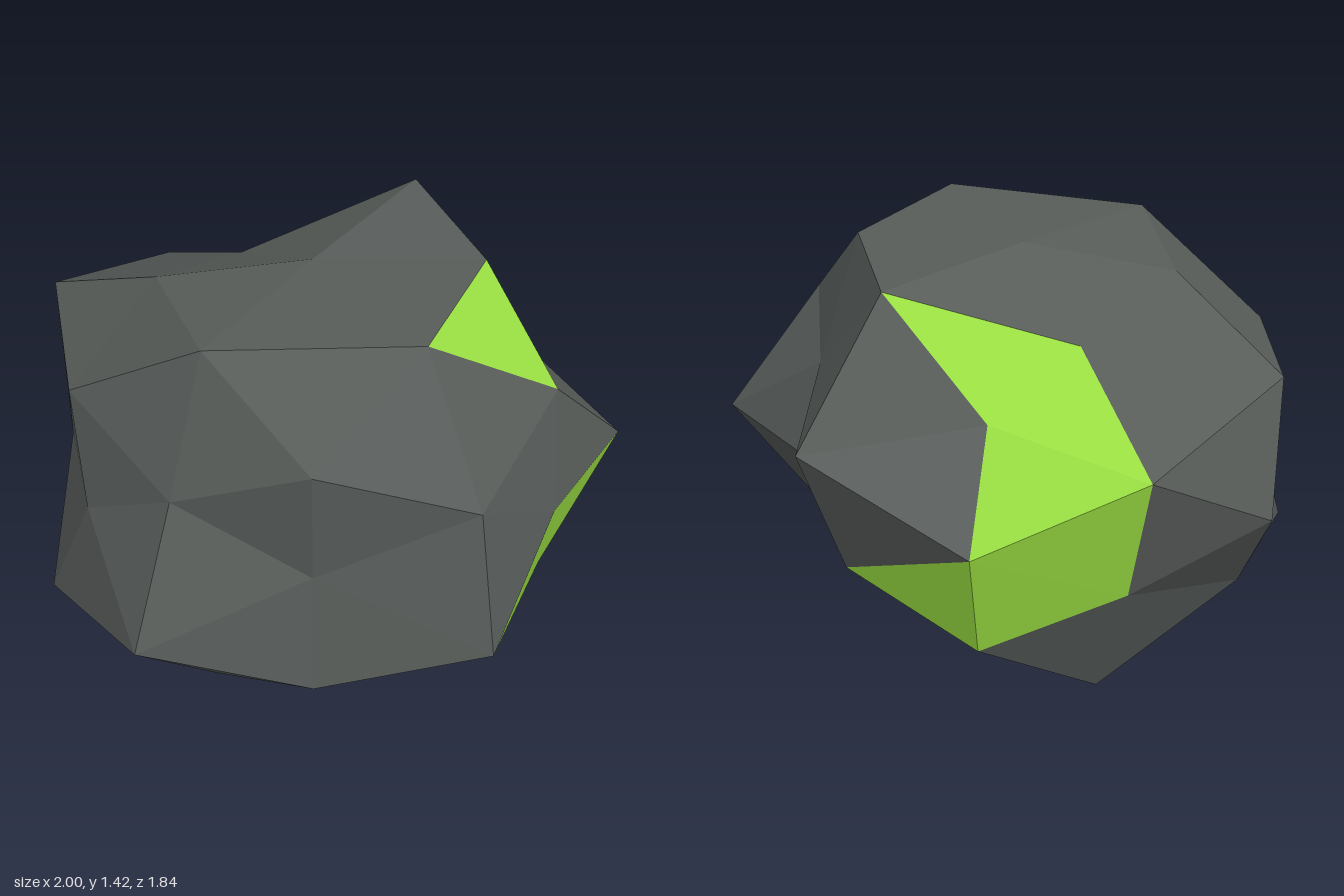
import * as THREE from 'three';

// Radius of every corner of a subdivided icosahedron, grouped by direction family.
// Key: absolute direction x 10. Entries run through the signs of the non-zero axes, plus before minus.
const FAMILIES = {
  '10,0,0': ['X', [1.08, 0.855]],
  '0,10,0': ['Y', [0.945, 0.933]],
  '0,0,10': ['Z', [0.875, 1.043]],
  '5,9,0': ['A', [1.105, 0.9, 1.005, 1.17]],
  '0,5,9': ['F', [1.07, 0.832, 1.095, 1.058]],
  '9,0,5': ['B', [0.95, 0.79, 0.893, 1.081]],
  '3,8,5': ['T', [1.172, 1.182, 0.9, 0.83, 1.125, 0.84, 1.115, 1.157]],
  '5,3,8': ['S', [1.07, 1.16, 1.175, 0.945, 0.915, 1.108, 1.165, 0.953]],
  '8,5,3': ['W', [1.005, 0.825, 0.98, 0.795, 1.0, 1.137, 1.14, 1.0]],
};

// Glowing facets, each named by its three corners
const GREEN = new Set([
  'A0 T0 W0',
  'B0 W2 X0', 'B0 S2 W2',
  'F3 S3 Z1', 'F3 S7 Z1', 'S5 S7 Z1',
  'F1 T1 T5', 'F1 S5 T5', 'F1 S5 Z1',
]);

const CENTRE = new THREE.Vector3(-0.08, 0.7, 0.035);
const SQUASH = new THREE.Vector3(1, 0.75, 0.925);

// Find a corner's id and its displaced position
function corner(dir) {
  const d = dir.toArray();
  const [letter, radii] = FAMILIES[d.map((v) => Math.round(Math.abs(v) * 10)).join()];
  let i = 0;
  for (const v of d) if (Math.abs(v) > 0.05) i = i * 2 + (v < 0 ? 1 : 0);
  const p = dir.clone().multiplyScalar(radii[i]).multiply(SQUASH).add(CENTRE);
  p.y = Math.max(p.y, 0); // flat underside
  return { id: letter + i, p };
}

function facetMesh(name, points, material) {
  const geometry = new THREE.BufferGeometry().setFromPoints(points);
  geometry.computeVertexNormals(); // unshared corners give flat facets
  const mesh = new THREE.Mesh(geometry, material);
  mesh.name = name;
  return mesh;
}

export function createModel() {
  const stone = new THREE.MeshStandardMaterial({ color: 0x585d5a });
  stone.name = 'dark stone';
  const lime = new THREE.MeshStandardMaterial({ color: 0x9ae042 });
  lime.name = 'lime green';

  // Sort the displaced facets into plain rock and green ore
  const ball = new THREE.IcosahedronGeometry(1, 1).attributes.position;
  const rock = [];
  const ore = [];
  for (let f = 0; f < ball.count; f += 3) {
    const tri = [0, 1, 2].map((k) =>
      corner(new THREE.Vector3().fromBufferAttribute(ball, f + k).normalize()));
    const key = tri.map((c) => c.id).sort().join(' ');
    (GREEN.has(key) ? ore : rock).push(...tri.map((c) => c.p));
  }

  const group = new THREE.Group();
  group.name = 'boulder';
  group.add(facetMesh('rockFacets', rock, stone), facetMesh('greenFacets', ore, lime));
  return group;
}
